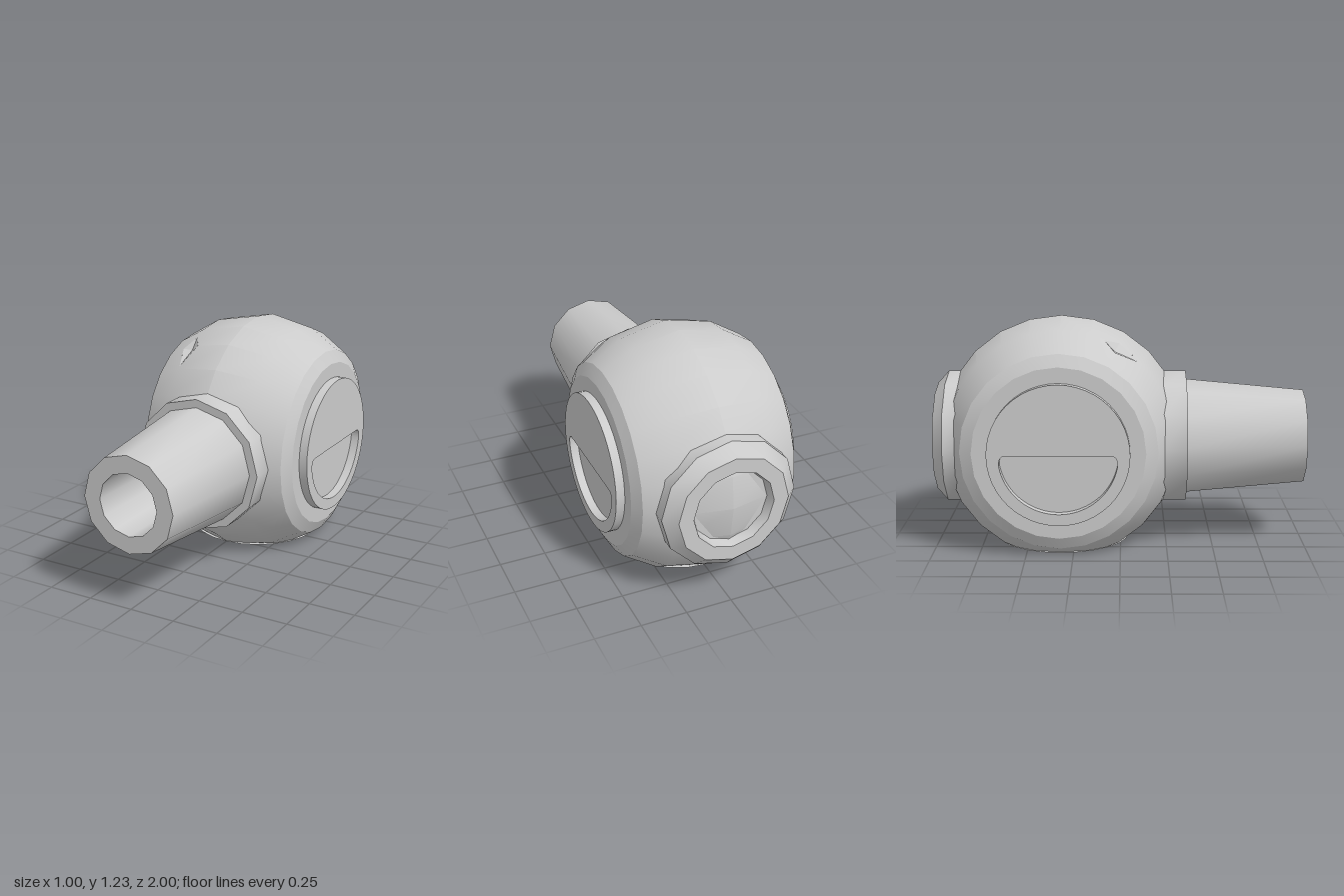
import * as THREE from 'three';
import { toCreasedNormals } from 'three/addons/utils/BufferGeometryUtils.js';

const CY = 0.563, CZ = -0.32; // centre of the round body

const material = (side = THREE.FrontSide) => new THREE.MeshStandardMaterial({ color: 0xcccccc, side });

const lathe = (points, sides) =>
  new THREE.LatheGeometry(points.map(([r, h]) => new THREE.Vector2(r, h)), sides);

// Keeps the part of a convex polygon on one side of a plane (vertices hold position and normal).
function clip(poly, plane, sign) {
  const out = [];
  const dist = (v) => sign * plane.distanceToPoint(new THREE.Vector3(v[0], v[1], v[2]));
  poly.forEach((a, i) => {
    const b = poly[(i + 1) % poly.length];
    const da = dist(a), db = dist(b);
    if (da >= 0) out.push(a);
    if (da * db < 0) out.push(a.map((v, k) => v + (b[k] - v) * da / (da - db)));
  });
  return out;
}

// Removes the convex region that lies behind all the given planes.
function carve(geometry, planes) {
  const p = geometry.attributes.position, n = geometry.attributes.normal;
  const pos = [], nor = [];
  const emit = (poly) => {
    for (let i = 1; i < poly.length - 1; i++) {
      for (const v of [poly[0], poly[i], poly[i + 1]]) {
        pos.push(v[0], v[1], v[2]);
        nor.push(v[3], v[4], v[5]);
      }
    }
  };
  for (let t = 0; t < p.count; t += 3) {
    let poly = [t, t + 1, t + 2].map((i) =>
      [p.getX(i), p.getY(i), p.getZ(i), n.getX(i), n.getY(i), n.getZ(i)]);
    for (const plane of planes) {
      if (poly.length < 3) break;
      emit(clip(poly, plane, 1));
      poly = clip(poly, plane, -1);
    }
  }
  const g = new THREE.BufferGeometry();
  g.setAttribute('position', new THREE.Float32BufferAttribute(pos, 3));
  g.setAttribute('normal', new THREE.Float32BufferAttribute(nor, 3));
  return g;
}

export function createModel() {
  const model = new THREE.Group();
  const add = (name, geometry, side) => {
    const mesh = new THREE.Mesh(geometry, material(side));
    mesh.name = name;
    model.add(mesh);
    return mesh;
  };

  // Diamond dent: four rim points and its deepest point
  const rim = [[-0.256, 1.13, -0.085], [-0.31, 1.071, -0.027], [-0.256, 1.01, 0.105], [-0.205, 1.108, -0.005]]
    .map((v) => new THREE.Vector3(...v));
  const apex = new THREE.Vector3(-0.256, 1.07, -0.03);
  const centre = new THREE.Vector3(0, CY, CZ);
  const dentPlanes = rim.map((a, i) => {
    const plane = new THREE.Plane().setFromCoplanarPoints(centre, a, rim[(i + 1) % 4]);
    return plane.distanceToPoint(apex) > 0 ? plane.negate() : plane;
  });
  const floorPlane = [new THREE.Plane(new THREE.Vector3(0, 1, 0), 0)];

  // Round body turned about x, with bevelled flat sides and an open bottom
  const half = [[0.619, 0.256], [0.52, 0.42], [0.455, 0.455], [0, 0.455]];
  const profile = [...half.map(([r, h]) => [r, -h]).reverse(), [0.67, 0], ...half];
  const shell = (scale) => {
    const g = toCreasedNormals(lathe(profile, 24).rotateZ(-Math.PI / 2), 0.44);
    g.scale(scale, scale, scale).translate(0, CY, CZ);
    return carve(carve(g, floorPlane), dentPlanes);
  };
  add('body', shell(1));
  add('bodyInside', shell(0.975), THREE.BackSide);
  add('bottomRim', new THREE.RingGeometry(0.328, 0.364, 24).rotateX(Math.PI / 2).translate(0, 0.001, CZ),
    THREE.DoubleSide);

  const dent = new THREE.BufferGeometry().setFromPoints(rim.flatMap((a, i) => [a, rim[(i + 1) % 4], apex]));
  dent.computeVertexNormals();
  add('diamondDent', dent, THREE.DoubleSide);

  // Twelve-sided fittings along z
  const fitting = (name, points, crease) => {
    const g = lathe(points, 12).rotateX(Math.PI / 2).translate(0, CY, 0);
    add(name, crease ? toCreasedNormals(g, crease) : g);
  };
  fitting('frontCollar', [[0.365, 0.23], [0.365, 0.355], [0.3, 0.355]], 0.6);
  fitting('barrel', [[0.32, 0.355], [0.26, 1], [0.167, 1]], 0.6);
  fitting('bore', [[0.167, 1], [0.162, 0.4], [0, 0.38]]);
  fitting('rearCollar',
    [[0, -0.95], [0.205, -0.95], [0.22, -1], [0.3, -1], [0.365, -0.94], [0.365, -0.87]], 0.6);

  // Side discs with a half-round recess
  const disc = new THREE.Shape().absarc(0, 0, 0.372, 0, Math.PI * 2, false);
  const recess = new THREE.Path();
  recess.moveTo(-0.27, 0).lineTo(0.27, 0).quadraticCurveTo(0.312, 0, 0.305, -0.06);
  recess.absarc(0, 0, 0.311, -0.194, -Math.PI + 0.194, true);
  recess.quadraticCurveTo(-0.312, 0, -0.27, 0);
  disc.holes.push(recess);
  for (const s of [1, -1]) {
    const g = new THREE.ExtrudeGeometry(disc, { depth: 0.046, bevelEnabled: false, curveSegments: 24 });
    g.rotateY(s * Math.PI / 2).translate(s * 0.455, CY, CZ);
    add(s > 0 ? 'leftDisc' : 'rightDisc', toCreasedNormals(g, 0.5));
  }
  return model;
}
